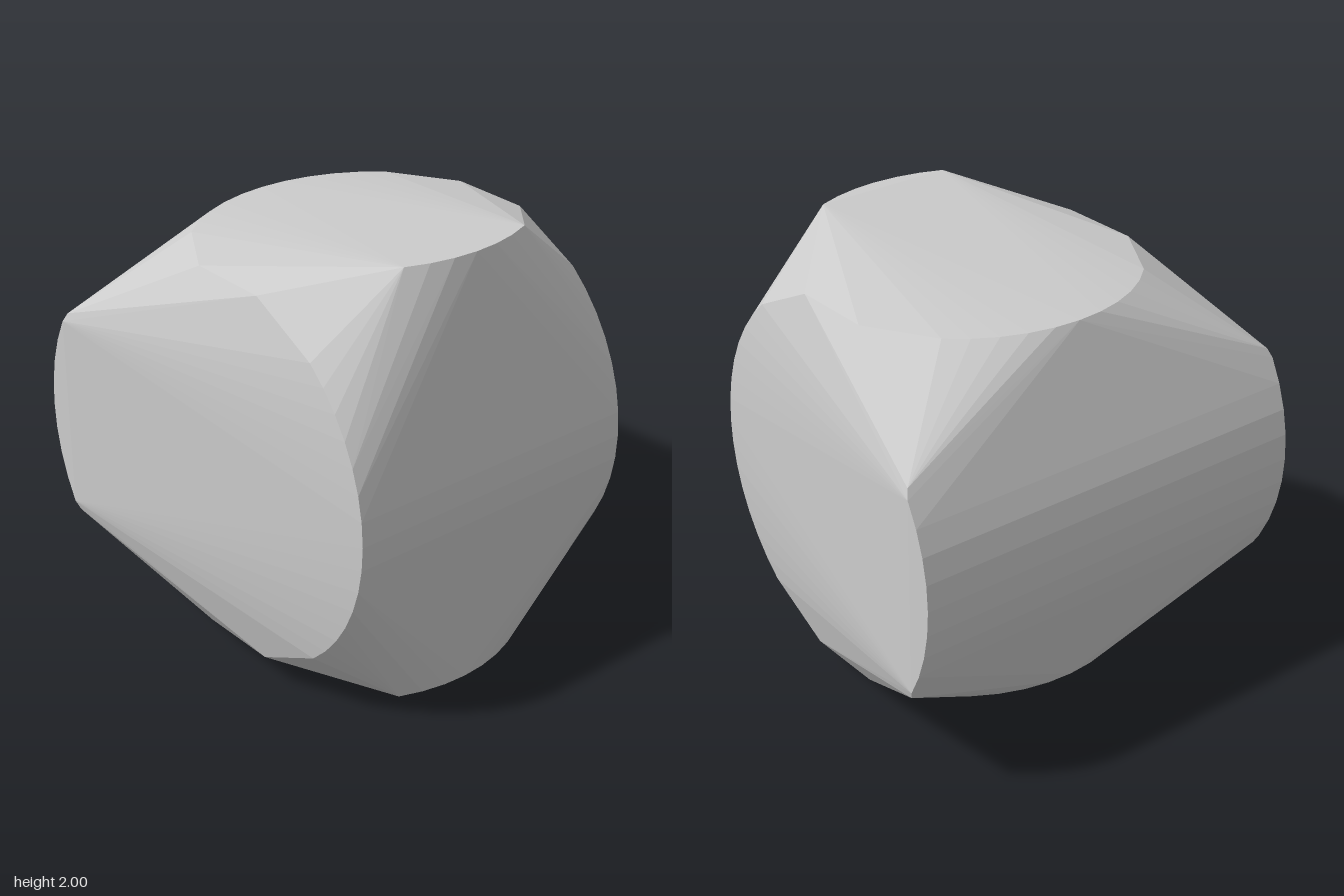
import * as THREE from 'three';
import { ConvexGeometry } from 'three/addons/geometries/ConvexGeometry.js';

// Faceted stone: convex skin stretched over arcs of two crossing cylinders
export function createModel() {
  const group = new THREE.Group();
  const points = [];

  // Mirror a point (height measured from mid level) left/right and up/down
  const add = (x, h, z) => {
    for (const sx of x < 1e-6 ? [1] : [1, -1]) {
      for (const sy of h < 1e-6 ? [1] : [1, -1]) {
        points.push(new THREE.Vector3(sx * x, 1 + sy * h, z));
      }
    }
  };
  // Sample an arc from 0 to end, calling place(sin, cos)
  const arc = (end, steps, place) => {
    for (let i = 0; i <= steps; i++) {
      const a = (end * i) / steps;
      place(Math.sin(a), Math.cos(a));
    }
  };

  const R = 0.893; // side discs
  const capX = 0.74, capZ = 0.685, capMid = 0.055; // top and bottom caps

  // Narrow front rims and wide back rims of the side discs
  arc(Math.asin(0.68 / R), 7, (s, c) => add(0.71, R * s, R * c));
  arc(Math.asin(0.44 / R), 4, (s, c) => add(0.965, R * s, -R * c));
  add(0.95, 0.48, -0.757);

  // High front rims and low back rims of the caps
  arc(Math.asin(0.32 / capX), 3, (s, c) => add(capX * s, 1, capMid + capZ * c));
  arc(Math.asin(0.53 / capX), 5, (s, c) => add(capX * s, 0.847, capMid - capZ * c));

  // Short ridges where the discs meet the caps
  add(0.71, 0.847, 0.25);
  add(0.71, 0.847, -0.125);

  const body = new THREE.Mesh(
    new ConvexGeometry(points),
    new THREE.MeshStandardMaterial({ color: 0xcccccc, flatShading: true })
  );
  body.name = 'facetedBody';
  group.add(body);
  return group;
}
